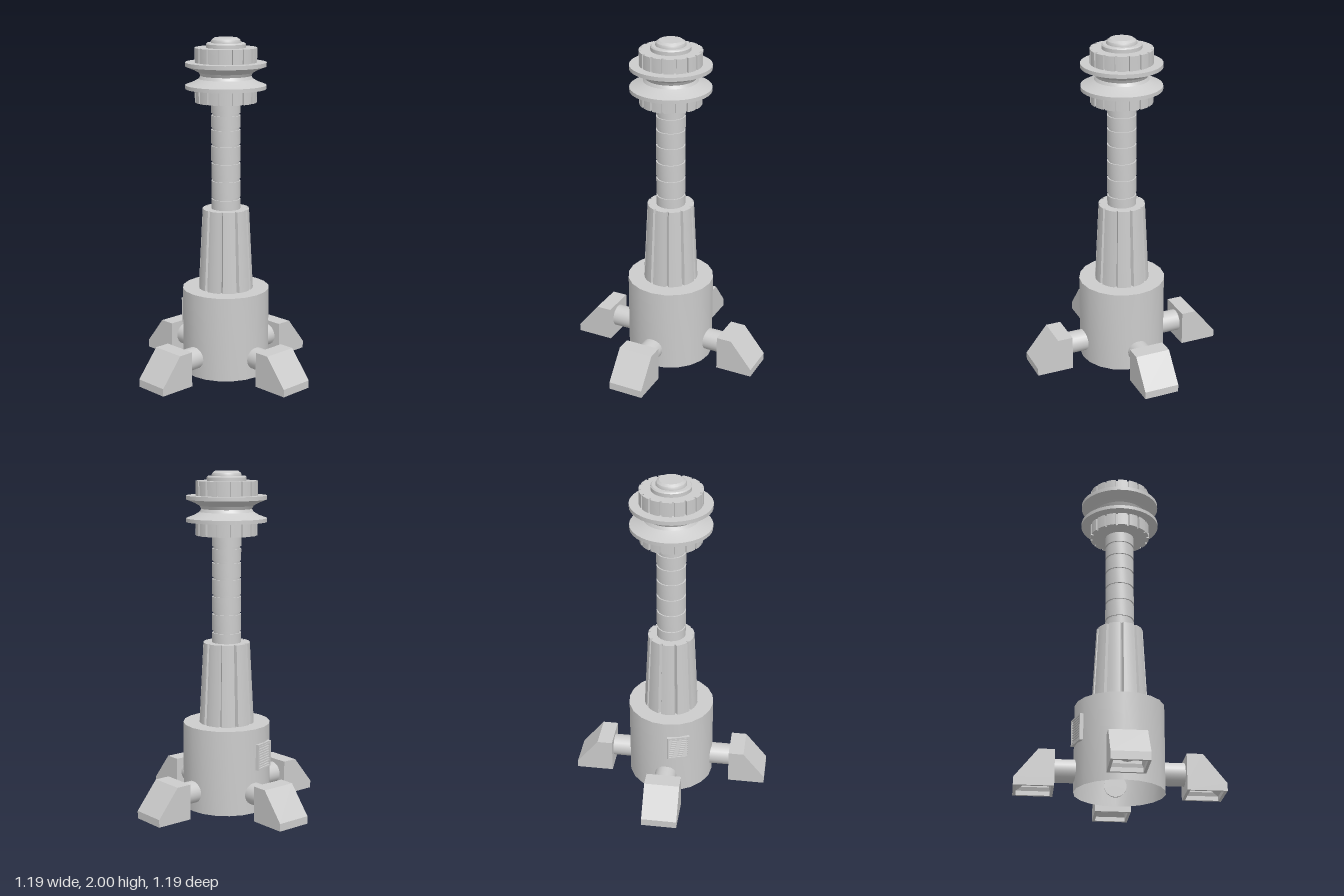
import * as THREE from 'three';
import { toCreasedNormals } from 'three/addons/utils/BufferGeometryUtils.js';

const material = new THREE.MeshStandardMaterial({ color: 0xcccccc, side: THREE.DoubleSide });

function add(parent, name, geometry) {
  const mesh = new THREE.Mesh(geometry, material);
  mesh.name = name;
  parent.add(mesh);
  return mesh;
}

// Turned part from [radius, height] pairs, listed bottom to top
function turned(points, sides = 40) {
  const profile = points.map(([r, y]) => new THREE.Vector2(r, y));
  return toCreasedNormals(new THREE.LatheGeometry(profile, sides), 0.5);
}

// Upright drum with evenly spaced notches, optionally tapering towards the top
function notchedDrum({ radius, topRadius = radius, y0, y1, count, gap, depth, square }) {
  const shape = new THREE.Shape();
  const pitch = (Math.PI * 2) / count;
  const steps = 4;
  const put = (r, a) => {
    const x = r * Math.cos(a), y = r * Math.sin(a);
    if (shape.curves.length || shape.started) shape.lineTo(x, y);
    else { shape.moveTo(x, y); shape.started = true; }
  };
  for (let i = 0; i < count; i++) {
    const start = (i - 0.5) * pitch + gap / 2;
    for (let s = 0; s <= steps; s++) put(radius, start + ((pitch - gap) * s) / steps);
    const notch = (i + 0.5) * pitch;
    if (square) {
      put(radius - depth, notch - gap / 2);
      put(radius - depth, notch + gap / 2);
    } else put(radius - depth, notch);
  }
  const height = y1 - y0;
  const geo = new THREE.ExtrudeGeometry(shape, { depth: height, bevelEnabled: false });
  geo.rotateX(-Math.PI / 2);
  const p = geo.attributes.position;
  for (let i = 0; i < p.count; i++) {
    const k = 1 + (topRadius / radius - 1) * (p.getY(i) / height);
    p.setXYZ(i, p.getX(i) * k, p.getY(i) + y0, p.getZ(i) * k);
  }
  return toCreasedNormals(geo, 0.4);
}

// Hollow foot: rectangular rings running down the cavity, across the rim and up the outside
function footGeometry() {
  const rings = [ // inner x, outer x, half width, height
    [0.39, 0.445, 0.08, 0.18],
    [0.39, 0.545, 0.08, 0.045],
    [0.385, 0.575, 0.09, 0.025],
    [0.385, 0.575, 0.09, 0],
    [0.368, 0.593, 0.106, 0],
    [0.368, 0.593, 0.106, 0.045],
    [0.368, 0.46, 0.106, 0.21],
  ].map(([x0, x1, w, y]) => [[x0, y, -w], [x1, y, -w], [x1, y, w], [x0, y, w]]);
  const v = [];
  const tri = (a, b, c) => v.push(...a, ...b, ...c);
  const first = rings[0], last = rings[rings.length - 1];
  tri(first[0], first[1], first[2]);
  tri(first[0], first[2], first[3]);
  for (let r = 0; r < rings.length - 1; r++) {
    const a = rings[r], b = rings[r + 1];
    for (let i = 0; i < 4; i++) {
      const j = (i + 1) % 4;
      tri(a[i], b[i], a[j]);
      tri(a[j], b[i], b[j]);
    }
  }
  tri(last[0], last[2], last[1]);
  tri(last[0], last[3], last[2]);
  const geo = new THREE.BufferGeometry();
  geo.setAttribute('position', new THREE.Float32BufferAttribute(v, 3));
  geo.computeVertexNormals();
  return geo;
}

export function createModel() {
  const model = new THREE.Group();
  model.name = 'pedestal';

  // Everything turned shares one axis
  const axis = new THREE.Group();
  axis.name = 'tower';
  axis.position.set(0.002, 0, -0.006);
  model.add(axis);

  // Base drum, open underneath
  add(axis, 'baseDrum', turned([[0.26, 0], [0.26, 0.51], [0, 0.51]], 20));

  // Four feet on round struts
  const foot = footGeometry();
  const strut = new THREE.CylinderGeometry(0.066, 0.066, 0.175, 24);
  strut.rotateZ(Math.PI / 2).translate(0.3325, 0.12, 0);
  for (let i = 0; i < 4; i++) {
    add(model, 'foot', foot).rotation.y = (i * Math.PI) / 2;
    add(axis, 'strut', strut).rotation.y = (i * Math.PI) / 2;
  }

  // Vent on the drum's side: a frame with slats
  const vent = new THREE.Group();
  vent.name = 'vent';
  vent.rotation.y = Math.PI + 0.3;
  vent.position.y = 0.338;
  axis.add(vent);
  const box = (name, w, h, d, x, y, z) =>
    add(vent, name, new THREE.BoxGeometry(w, h, d)).position.set(x, y, z);
  box('ventBack', 0.02, 0.15, 0.13, 0.248, 0, 0);
  for (const s of [-1, 1]) {
    box('ventFrame', 0.035, 0.01, 0.137, 0.2525, s * 0.073, 0);
    box('ventFrame', 0.035, 0.156, 0.01, 0.2525, 0, s * 0.0635);
  }
  for (let i = 0; i < 9; i++) box('ventSlat', 0.03, 0.008, 0.118, 0.252, (i - 4) * 0.015, 0);

  // Tapered column with V grooves
  add(axis, 'column', notchedDrum({
    radius: 0.163, topRadius: 0.138, y0: 0.51, y1: 0.995, count: 10, gap: 0.12, depth: 0.02,
  }));

  // Pole with ring grooves
  const pole = [[0.086, 0.99]];
  for (const y of [1.06, 1.17, 1.275, 1.378, 1.474, 1.558]) {
    pole.push([0.086, y - 0.007], [0.078, y - 0.007], [0.078, y + 0.007], [0.086, y + 0.007]);
  }
  pole.push([0.086, 1.635]);
  add(axis, 'pole', turned(pole, 32));

  // Toothed collars below and above the pulley
  for (const [y0, y1] of [[1.628, 1.708], [1.858, 1.943]]) {
    add(axis, 'toothedCollar', notchedDrum({
      radius: 0.181, y0, y1, count: 16, gap: 0.07, depth: 0.014, square: true,
    }));
  }

  // Pulley wheel with a waisted groove
  add(axis, 'pulley', turned([
    [0, 1.706], [0.236, 1.706], [0.236, 1.728], [0.19, 1.745], [0.158, 1.764], [0.148, 1.782],
    [0.158, 1.8], [0.19, 1.818], [0.236, 1.836], [0.236, 1.859], [0, 1.859],
  ]));

  // Stepped cap with a rounded button
  add(axis, 'capDisc', turned([[0, 1.94], [0.115, 1.94], [0.115, 1.964], [0.108, 1.971], [0, 1.971]]));
  add(axis, 'capButton', turned([
    [0.087, 1.965], [0.087, 1.978], [0.082, 1.989], [0.067, 2], [0, 2],
  ]));

  return model;
}
